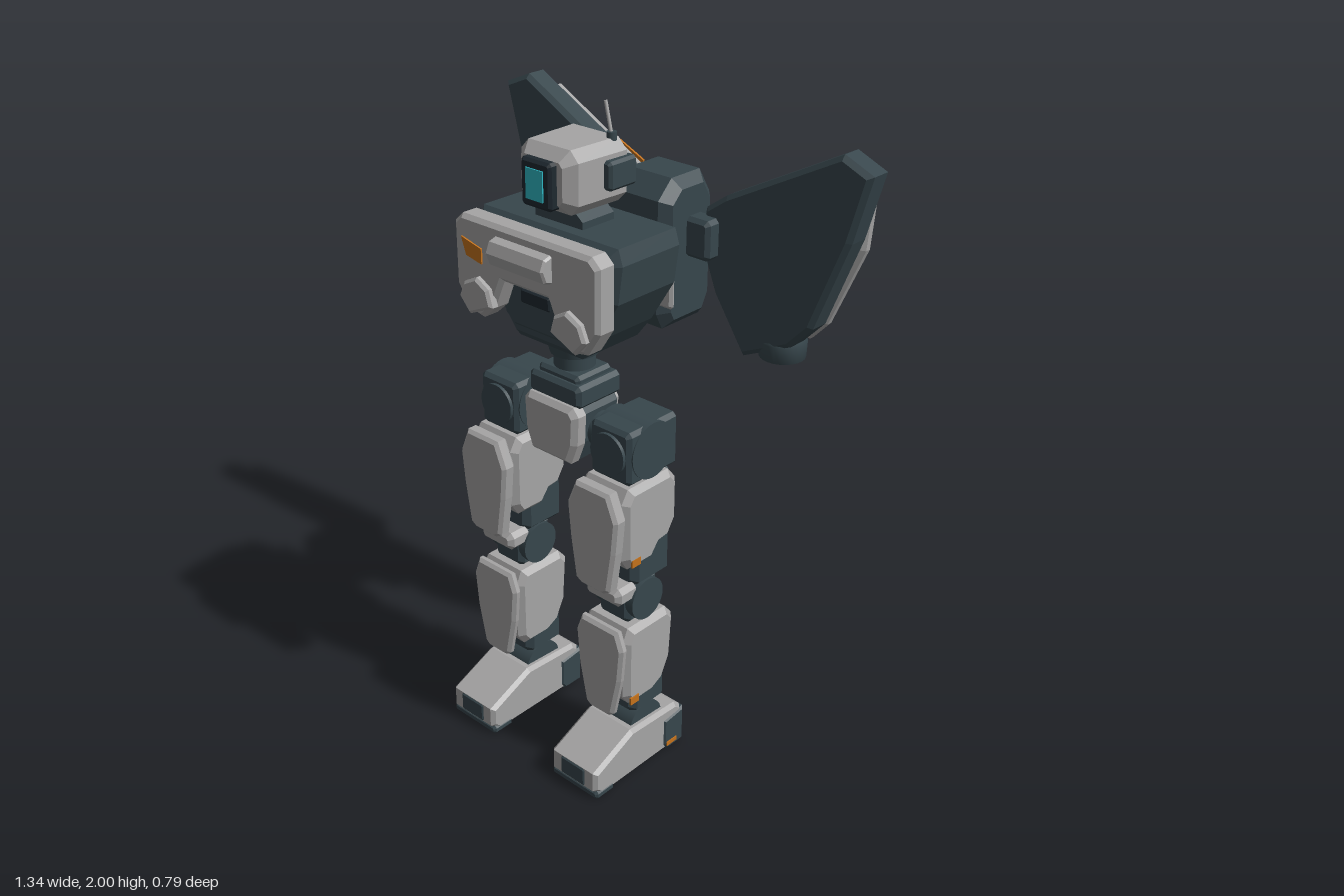
import * as THREE from 'three';

const mat = (name, color) => {
  const m = new THREE.MeshStandardMaterial({ color });
  m.name = name;
  return m;
};

export function createModel() {
  const dark = mat('dark slate', 0x37464c), grey = mat('armour grey', 0xa6a5a5);
  const orange = mat('orange', 0xc4721c), cyan = mat('cyan', 0x2fb9c6);
  const black = mat('frame black', 0x1f2930);
  const root = new THREE.Group();

  const add = (parent, name, geo, m) => {
    const mesh = new THREE.Mesh(geo, m);
    mesh.name = name;
    parent.add(mesh);
    return mesh;
  };
  // Chamfered slab: outline in x/y, running from z0 to z1
  const slab = (pts, z0, z1, b = 0) => {
    const shape = new THREE.Shape(pts.map(p => new THREE.Vector2(p[0], p[1])));
    return new THREE.ExtrudeGeometry(shape, {
      depth: z1 - z0 - 2 * b, bevelEnabled: b > 0, bevelSegments: 1,
      bevelThickness: b, bevelSize: b, bevelOffset: -b,
    }).translate(0, 0, z0 + b);
  };
  // Side profile in z/y, running from x0 to x1
  const side = (pts, x0, x1, b = 0) => slab(pts, -x1, -x0, b).rotateY(-Math.PI / 2);
  // Block with all edges cut
  const block = (x0, x1, y0, y1, z0, z1, c = 0.015) => slab([
    [x0 + c, y0], [x1 - c, y0], [x1, y0 + c], [x1, y1 - c],
    [x1 - c, y1], [x0 + c, y1], [x0, y1 - c], [x0, y0 + c]], z0, z1, c);
  const box = (x0, x1, y0, y1, z0, z1) => new THREE.BoxGeometry(x1 - x0, y1 - y0, z1 - z0)
    .translate((x0 + x1) / 2, (y0 + y1) / 2, (z0 + z1) / 2);
  const cyl = (r, h, x, y, z, axis = 'y', r2 = r) => {
    const g = new THREE.CylinderGeometry(r, r2, h, 28);
    if (axis === 'x') g.rotateZ(Math.PI / 2);
    if (axis === 'z') g.rotateX(Math.PI / 2);
    return g.translate(x, y, z);
  };
  // Right half of an outline, top to bottom, completed by its mirror image
  const sym = pts => [...pts, ...pts.map(([x, y]) => [-x, y]).reverse()];
  const flip = (pts, s) => pts.map(([x, y]) => [s * x, y]);

  // Head
  const head = new THREE.Group();
  head.name = 'head';
  root.add(head);
  const skull = block(-0.112, 0.112, 1.73, 1.905, 0.022, 0.255, 0.03);
  const sp = skull.attributes.position;
  for (let i = 0; i < sp.count; i++) {
    sp.setX(i, sp.getX(i) * (1 - 0.7 * Math.max(0, sp.getZ(i) - 0.12)));
  }
  skull.computeVertexNormals();
  add(head, 'skull', skull, grey);
  add(head, 'visorFrame', block(-0.055, 0.055, 1.745, 1.875, 0.23, 0.28, 0.008), black);
  add(head, 'visorScreen', box(-0.031, 0.031, 1.768, 1.852, 0.279, 0.284), cyan);
  for (const s of [-1, 1]) {
    const x = s * 0.115;
    add(head, 'earPanel', block(x - 0.017, x + 0.017, 1.782, 1.862, 0.03, 0.135, 0.008), dark);
  }
  add(head, 'antennaBase', cyl(0.014, 0.025, 0.075, 1.908, 0.07), dark);
  const mast = add(head, 'antenna', cyl(0.005, 0.1, 0, 0, 0), grey);
  mast.position.set(0.065, 1.95, 0.07);
  mast.rotation.z = 0.24;
  add(head, 'neck', cyl(0.055, 0.06, 0, 1.715, 0.135), dark);
  add(head, 'collar', slab(sym([[0.05, 1.735], [0.088, 1.705], [0.088, 1.68]]), 0.075, 0.195), dark);

  // Torso
  const torso = new THREE.Group();
  torso.name = 'torso';
  root.add(torso);
  add(torso, 'trunk', slab(sym([[0.25, 1.685], [0.265, 1.64], [0.25, 1.53], [0.17, 1.4], [0.12, 1.335]]),
    -0.018, 0.262, 0.03), dark);
  add(torso, 'chestPlate', slab(sym([[0.24, 1.687], [0.27, 1.66], [0.27, 1.48], [0.225, 1.41],
    [0.17, 1.4], [0.125, 1.44], [0.085, 1.53]]), 0.258, 0.33, 0.012), grey);
  add(torso, 'chestRidge', side([[0.32, 1.575], [0.355, 1.585], [0.368, 1.62], [0.355, 1.65], [0.32, 1.66]],
    -0.107, 0.107, 0.006), grey);
  for (const s of [-1, 1]) {
    add(torso, 'chestPod', slab(flip([[0.24, 1.455], [0.2, 1.41], [0.11, 1.45], [0.125, 1.5],
      [0.17, 1.525], [0.22, 1.5]], s), 0.315, 0.35, 0.008), grey);
  }
  add(torso, 'chestMark', slab([[-0.235, 1.625], [-0.157, 1.607], [-0.157, 1.563], [-0.217, 1.575]], 0.328, 0.335), orange);
  add(torso, 'bellyBlock', slab(sym([[0.085, 1.53], [0.13, 1.42], [0.09, 1.39]]), 0.23, 0.285, 0.01), dark);
  add(torso, 'bellyVent', block(-0.055, 0.055, 1.47, 1.51, 0.28, 0.292, 0.004), black);

  // Waist and pelvis
  add(root, 'waistCollar', cyl(0.085, 0.06, 0, 1.325, 0.14, 'y', 0.07), dark);
  add(root, 'waistPost', cyl(0.06, 0.14, 0, 1.27, 0.14), dark);
  add(root, 'waistStep', block(-0.08, 0.08, 1.22, 1.255, 0.07, 0.21, 0.01), dark);
  add(root, 'waistBlock', block(-0.1, 0.1, 1.165, 1.235, 0.052, 0.228, 0.012), dark);
  const hips = sym([[0.085, 1.175], [0.105, 1.15], [0.1, 1.06], [0.075, 0.995]]);
  add(root, 'pelvisCore', slab(hips.map(([x, y]) => [x * 0.96, y]), 0.06, 0.22, 0.015), dark);
  add(root, 'pelvisFront', slab(hips, 0.19, 0.25, 0.015), grey);
  add(root, 'pelvisBack', slab(hips.map(([x, y]) => [x * 0.75, 1.085 + (y - 1.085) * 0.85]), 0.035, 0.07, 0.01), grey);
  add(root, 'hipAxle', cyl(0.052, 0.34, 0, 1.085, 0.14, 'x'), dark);

  // Legs, each built around its own centre line
  for (const s of [-1, 1]) {
    const leg = new THREE.Group();
    leg.name = s > 0 ? 'leftLeg' : 'rightLeg';
    leg.position.x = s * 0.22;
    root.add(leg);
    add(leg, 'hipBlock', block(-0.075, 0.075, 1.0, 1.165, 0.032, 0.235, 0.012), dark);
    add(leg, 'hipDisc', cyl(0.085, 0.156, 0, 1.085, 0.14, 'x'), dark);
    add(leg, 'hipFrontCap', cyl(0.062, 0.02, 0, 1.085, 0.235, 'z'), dark);
    add(leg, 'thighCore', block(-0.072, 0.072, 0.65, 1.01, 0.046, 0.205, 0.02), dark);
    add(leg, 'thighArmour', side([[0.24, 1.0], [0.075, 1.0], [0.045, 0.965], [0.045, 0.84], [0.08, 0.785],
      [0.12, 0.78], [0.15, 0.742], [0.24, 0.742], [0.265, 0.78], [0.265, 0.96]], -0.092, 0.092, 0.018), grey);
    add(leg, 'thighPlate', slab(sym([[0.062, 1.005], [0.095, 0.925], [0.085, 0.82], [0.065, 0.69], [0.04, 0.675]]),
      0.262, 0.31, 0.01), grey);
    add(leg, 'kneeJoint', cyl(0.066, 0.15, 0, 0.6, 0.152, 'x'), dark);
    add(leg, 'kneeCore', block(-0.06, 0.06, 0.53, 0.67, 0.09, 0.22, 0.015), dark);
    add(leg, 'kneeCap', block(-0.068, 0.068, 0.612, 0.67, 0.18, 0.268, 0.015), grey);
    add(leg, 'shinCore', block(-0.07, 0.07, 0.195, 0.52, 0.055, 0.205, 0.02), dark);
    add(leg, 'shinArmour', side([[0.235, 0.535], [0.075, 0.535], [0.045, 0.5], [0.055, 0.36], [0.09, 0.29],
      [0.14, 0.265], [0.23, 0.265], [0.255, 0.3], [0.255, 0.49]], -0.09, 0.09, 0.018), grey);
    add(leg, 'shinPlate', slab(sym([[0.07, 0.54], [0.092, 0.48], [0.082, 0.37], [0.055, 0.24], [0.035, 0.225]]),
      0.25, 0.282, 0.01), grey);
    add(leg, 'ankle', cyl(0.07, 0.14, 0, 0.148, 0.148, 'x'), dark);
    add(leg, 'foot', side([[0.005, 0.008], [0.36, 0.008], [0.392, 0.035], [0.392, 0.1], [0.23, 0.17],
      [0.03, 0.16], [0.005, 0.14]], -0.092, 0.092, 0.012), grey);
    add(leg, 'heelGuard', side([[0.0, 0.01], [0.075, 0.01], [0.09, 0.03], [0.09, 0.125], [0, 0.135]],
      -0.097, 0.097, 0.008), dark);
    add(leg, 'toeSole', block(-0.094, 0.094, 0.003, 0.032, 0.31, 0.388, 0.008), dark);
    add(leg, 'toePlate', block(-0.05, 0.05, 0.035, 0.1, 0.375, 0.396, 0.006), dark);
    add(leg, 'heelMark', box(s * 0.0975 - 0.003, s * 0.0975 + 0.003, 0.027, 0.04, 0.035, 0.08), orange);
    if (s > 0) {
      for (const [name, y] of [['thighMark', 0.765], ['shinMark', 0.285]]) {
        add(leg, name, box(0.088, 0.094, y - 0.012, y + 0.012, 0.205, 0.24), orange);
      }
    }
  }

  // Backpack
  const pack = new THREE.Group();
  pack.name = 'backpack';
  root.add(pack);
  add(pack, 'mountPlate', block(-0.2, 0.2, 1.415, 1.63, -0.055, -0.035, 0.008), grey);
  add(pack, 'mountBoss', box(-0.09, 0.09, 1.46, 1.6, -0.08, -0.01), dark);
  add(pack, 'mountBlock', block(-0.105, 0.105, 1.44, 1.615, -0.122, -0.078, 0.01), dark);
  add(pack, 'packBody', side([[-0.14, 1.29], [-0.3, 1.29], [-0.335, 1.36], [-0.335, 1.66], [-0.29, 1.735],
    [-0.17, 1.735], [-0.115, 1.68], [-0.115, 1.34]], -0.107, 0.107, 0.03), dark);
  add(pack, 'packPanel', block(-0.053, 0.053, 1.39, 1.64, -0.355, -0.325, 0.01), grey);

  // Wing binders
  const wingOutline = [[0.577, 1.89], [0.672, 1.85], [0.62, 1.655], [0.515, 1.38], [0.445, 1.305],
    [0.28, 1.227], [0.17, 1.39], [0.11, 1.54], [0.13, 1.64], [0.2, 1.69]];
  const plateOutline = [[0.545, 1.845], [0.625, 1.805], [0.61, 1.61], [0.505, 1.365], [0.45, 1.305],
    [0.34, 1.3], [0.19, 1.56], [0.195, 1.66]];
  for (const s of [-1, 1]) {
    const wing = new THREE.Group();
    wing.name = s > 0 ? 'leftWing' : 'rightWing';
    root.add(wing);
    add(wing, 'hinge', block(s * 0.135 - 0.05, s * 0.135 + 0.05, 1.5, 1.62, -0.275, -0.205, 0.012), dark);
    add(wing, 'wingBody', slab(flip(wingOutline, s), -0.338, -0.252, 0.014), dark);
    add(wing, 'wingPlate', slab(flip(plateOutline, s), -0.385, -0.332, 0.018), grey);
    add(wing, 'wingMark', slab(flip([[0.22, 1.67], [0.355, 1.73], [0.31, 1.63], [0.225, 1.53]], s), -0.391, -0.384), orange);
    for (let i = 0; i < 3; i++) {
      const y = 1.61 + i * 0.02;
      add(wing, 'wingVent', box(s * 0.44 - 0.04, s * 0.44 + 0.04, y - 0.004, y + 0.004, -0.389, -0.384), black);
    }
    // Thruster nozzle, open below
    const bell = [[0, 0.03], [0.05, 0.03], [0.052, 0], [0.068, 0], [0.07, 0.05], [0.06, 0.07], [0, 0.07]];
    add(wing, 'thruster', new THREE.LatheGeometry(bell.map(p => new THREE.Vector2(...p)), 24)
      .toNonIndexed().translate(s * 0.38, 1.243, -0.318), dark);
  }
  return root;
}
